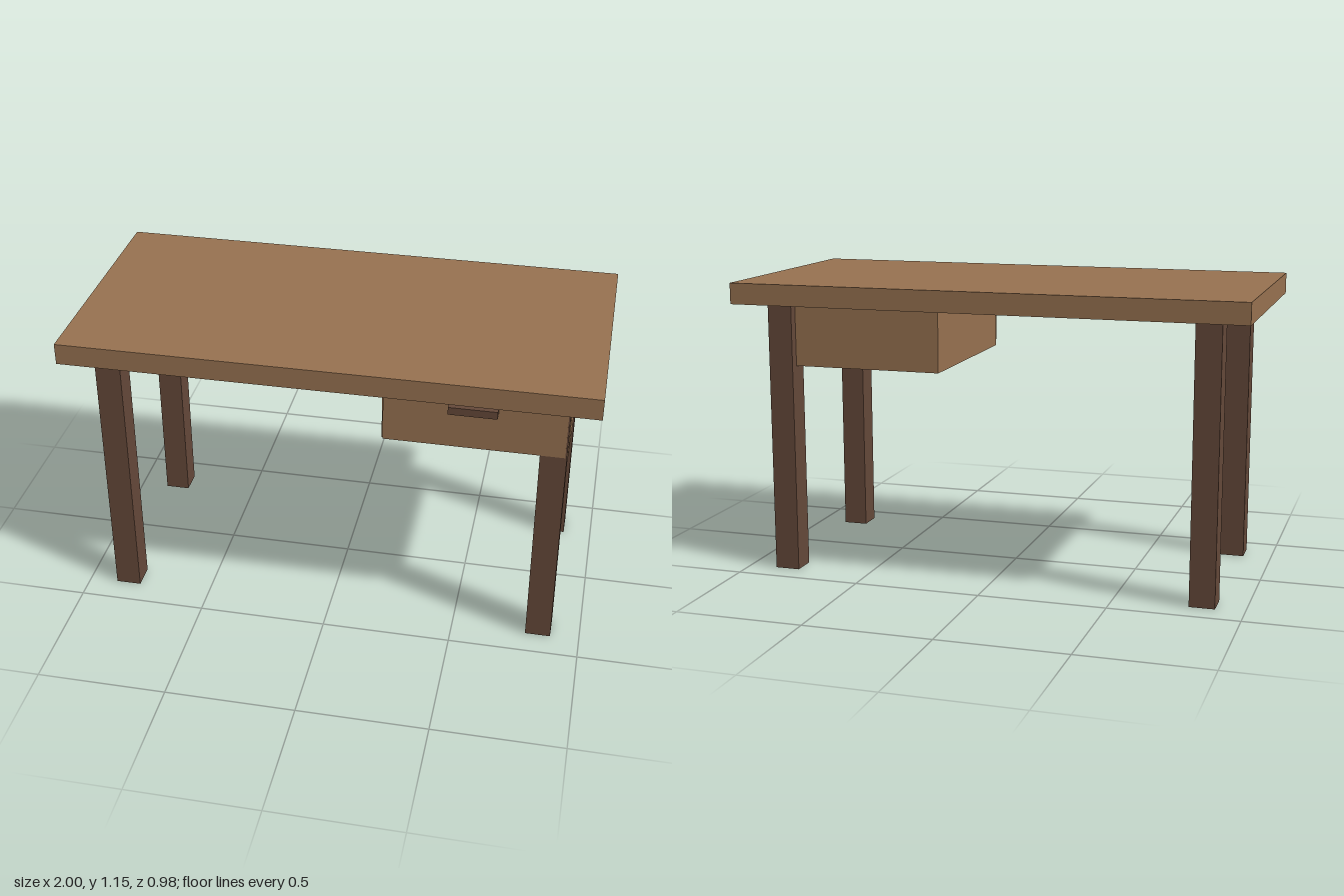
import * as THREE from 'three';

export function createModel() {
  const desk = new THREE.Group();
  desk.name = 'desk';

  const wood = new THREE.MeshStandardMaterial({ color: 0x967150 });
  wood.name = 'warm wood';
  const darkWood = new THREE.MeshStandardMaterial({ color: 0x644839 });
  darkWood.name = 'dark wood';

  // Box given by its extents along each axis
  function box(name, material, [x0, x1], [y0, y1], [z0, z1], parent = desk) {
    const mesh = new THREE.Mesh(new THREE.BoxGeometry(x1 - x0, y1 - y0, z1 - z0), material);
    mesh.position.set((x0 + x1) / 2, (y0 + y1) / 2, (z0 + z1) / 2);
    mesh.name = name;
    parent.add(mesh);
    return mesh;
  }

  // Table top
  box('tableTop', wood, [-1, 1], [1.073, 1.155], [-0.49, 0.49]);

  // Four square legs, mirrored about both axes
  for (const sx of [-1, 1]) {
    for (const sz of [-1, 1]) {
      const name = (sz > 0 ? 'front' : 'back') + (sx > 0 ? 'Left' : 'Right') + 'Leg';
      const leg = box(name, darkWood, [0.79, 0.888], [0, 1.073], [0.3, 0.398]);
      leg.position.x *= sx;
      leg.position.z *= sz;
    }
  }

  // Drawer under the left end: case, front panel and handle
  const drawer = new THREE.Group();
  drawer.name = 'drawer';
  desk.add(drawer);
  box('drawerCase', wood, [0.2, 0.891], [0.822, 1.073], [-0.362, 0.362], drawer);
  box('drawerFront', wood, [0.21, 0.882], [0.842, 1.065], [0.36, 0.402], drawer);
  box('drawerHandle', darkWood, [0.452, 0.632], [0.998, 1.028], [0.4, 0.437], drawer);

  return desk;
}
